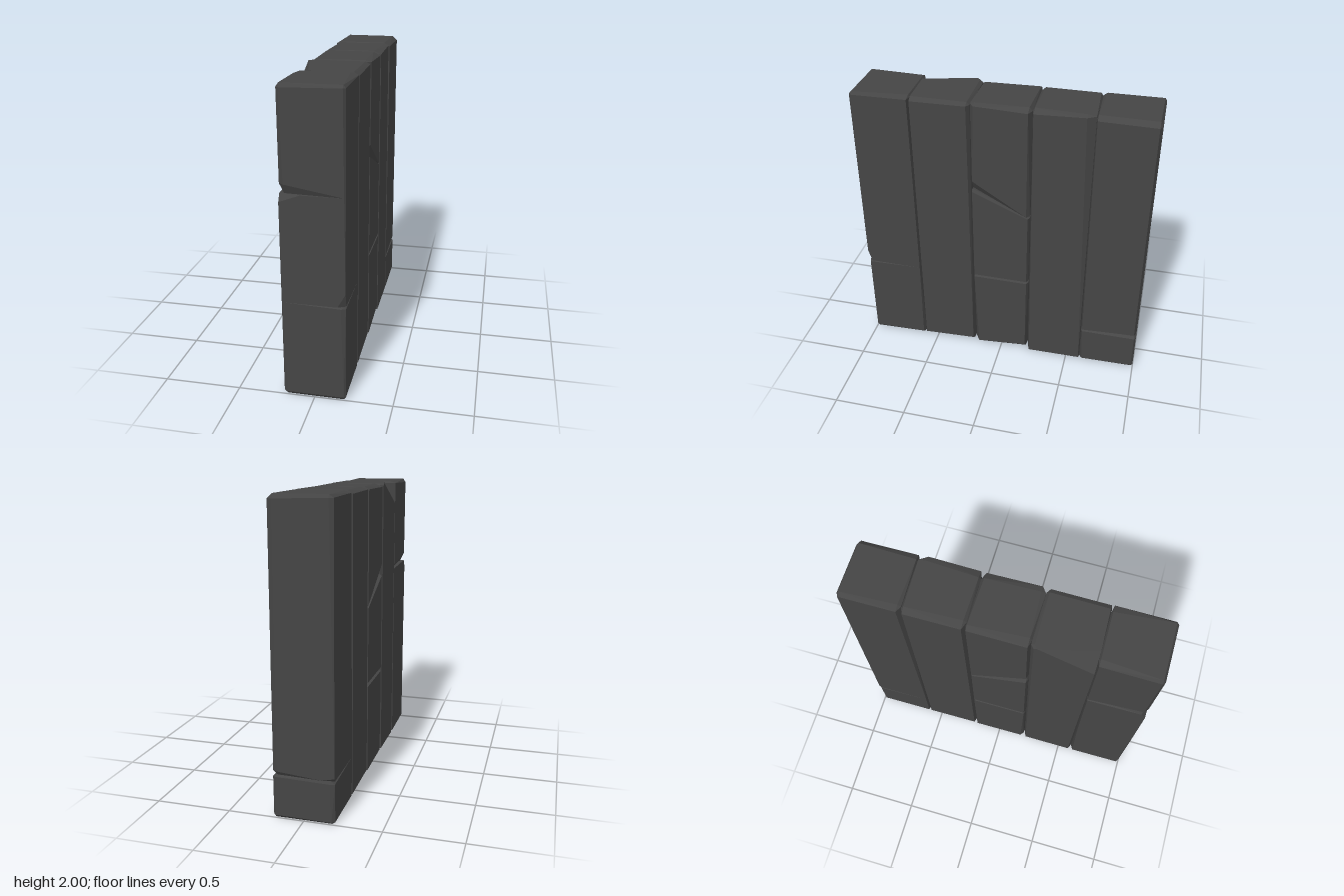
import * as THREE from 'three';
import { ConvexGeometry } from 'three/addons/geometries/ConvexGeometry.js';

export function createModel() {
  const wall = new THREE.Group();
  wall.name = 'stoneWall';
  const material = new THREE.MeshStandardMaterial({ color: 0x454545, flatShading: true });

  let seed = 11;
  const rand = (a, b) => {
    seed = (seed * 16807) % 2147483647;
    return a + (b - a) * (seed / 2147483647);
  };

  // One block: z = [front, back]; yb / yt = [height at front, height at back].
  // jb / jt mark a flush joint at the bottom / top end.
  // chips maps a corner (L/R side, T/B end, F/K front or back) to its chamfer
  // [cx, cy, cz]; a fourth value makes it a plain three-point corner cut.
  function block(name, { z, yb = [0, 0], yt = [2, 2], jb, jt, chips = {} }) {
    const points = [];
    for (const sx of [1, -1]) for (const sy of [1, -1]) for (const sz of [1, -1]) {
      const k = sz > 0 ? 0 : 1;
      const X = 0.2 * sx, Y = (sy > 0 ? yt : yb)[k], Z = z[k];
      const key = (sx > 0 ? 'L' : 'R') + (sy > 0 ? 'T' : 'B') + (sz > 0 ? 'F' : 'K');
      const outer = Math.abs(Z) > 0.99;
      const joint = sy > 0 ? jt : jb;
      let c = chips[key];
      if (!c && joint) c = outer ? [0.008, 0, 0.008] : [0.025, 0, 0.008];
      if (!c) {
        c = outer
          ? [rand(0.012, 0.035), rand(0.01, 0.03), rand(0.008, 0.02)]
          : [rand(0.025, 0.055), rand(0.008, 0.025), rand(0.008, 0.024)];
      }
      const [cx, cy, cz, cut] = c;
      const add = (a, b, d) => points.push(new THREE.Vector3(X - sx * a, Y - sy * b, Z - sz * d));
      if (cut) {
        add(cx, 0, 0); add(0, cy, 0); add(0, 0, cz);
      } else {
        add(cx, cy, 0); add(cx, 0, cz); add(0, cy, cz);
      }
    }
    const mesh = new THREE.Mesh(new ConvexGeometry(points), material);
    mesh.name = name;
    wall.add(mesh);
  }

  // Front column, notched on both edges
  block('frontColumnLower', {
    z: [1, 0.6], yt: [0.65, 0.645], jt: true,
    chips: { LTF: [0.03, 0.012, 0.01] },
  });
  block('frontColumnMiddle', {
    z: [1, 0.6], yb: [0.65, 0.645], yt: [1.35, 1.35], jb: true, jt: true,
    chips: {
      LBF: [0.05, 0.09, 0.025, 1],
      RTF: [0.13, 0.05, 0.03, 1], RTK: [0.025, 0.012, 0.008],
    },
  });
  block('frontColumnUpper', {
    z: [1, 0.6], yb: [1.35, 1.35], jb: true,
    chips: { RBF: [0.03, 0.06, 0.025], RBK: [0.025, 0.012, 0.008] },
  });

  // Second column with a broken top corner
  block('secondColumn', {
    z: [0.6, 0.2],
    chips: {
      RTF: [0.09, 0.16, 0.36, 1],
      LBF: [0.04, 0.025, 0.01], LBK: [0.05, 0.04, 0.015],
    },
  });

  // Middle column, broken into three blocks
  block('middleColumnLower', {
    z: [0.2, -0.2], yt: [0.648, 0.645],
    chips: {
      LTF: [0.025, 0.008, 0.008], LTK: [0.025, 0.008, 0.012],
      RTF: [0.025, 0.01, 0.008], RTK: [0.025, 0.01, 0.008],
      LBF: [0.05, 0.02, 0.03], LBK: [0.05, 0.05, 0.015],
    },
  });
  block('middleColumnCentre', {
    z: [0.2, -0.2], yb: [0.654, 0.651], yt: [1.37, 1.2],
    chips: {
      LBF: [0.025, 0.005, 0.008], LBK: [0.025, 0.005, 0.012],
      RBF: [0.025, 0.012, 0.008], RBK: [0.025, 0.012, 0.008],
      LTF: [0.025, 0.01, 0.008], LTK: [0.025, 0.006, 0.01],
      RTF: [0.03, 0.02, 0.01], RTK: [0.025, 0.01, 0.01],
    },
  });
  block('middleColumnUpper', {
    z: [0.2, -0.2], yb: [1.372, 1.202],
    chips: {
      LBF: [0.04, 0.07, 0.01], LBK: [0.025, 0.006, 0.02],
      RBF: [0.04, 0.06, 0.01], RBK: [0.025, 0.01, 0.01],
      LTF: [0.04, 0.01, 0.03],
    },
  });

  // Fourth column, with a tapering bevel beside its rear seam
  block('fourthColumn', {
    z: [-0.2, -0.6],
    chips: { LTK: [0.035, 0.01, 0.055], LBK: [0.02, 0.01, 0.006] },
  });

  // Rear column with a cracked foot
  block('rearColumnLower', {
    z: [-0.6, -1], yt: [0.285, 0.285], jt: true,
    chips: {
      LTF: [0.025, 0.01, 0.01], LTK: [0.02, 0.012, 0.012],
      RTK: [0.03, 0.02, 0.01],
    },
  });
  block('rearColumnUpper', {
    z: [-0.6, -1], yb: [0.285, 0.285], jb: true,
    chips: {
      LBF: [0.025, 0.006, 0.01], LBK: [0.03, 0.025, 0.015],
      RBK: [0.08, 0.02, 0.015, 1],
    },
  });

  return wall;
}
